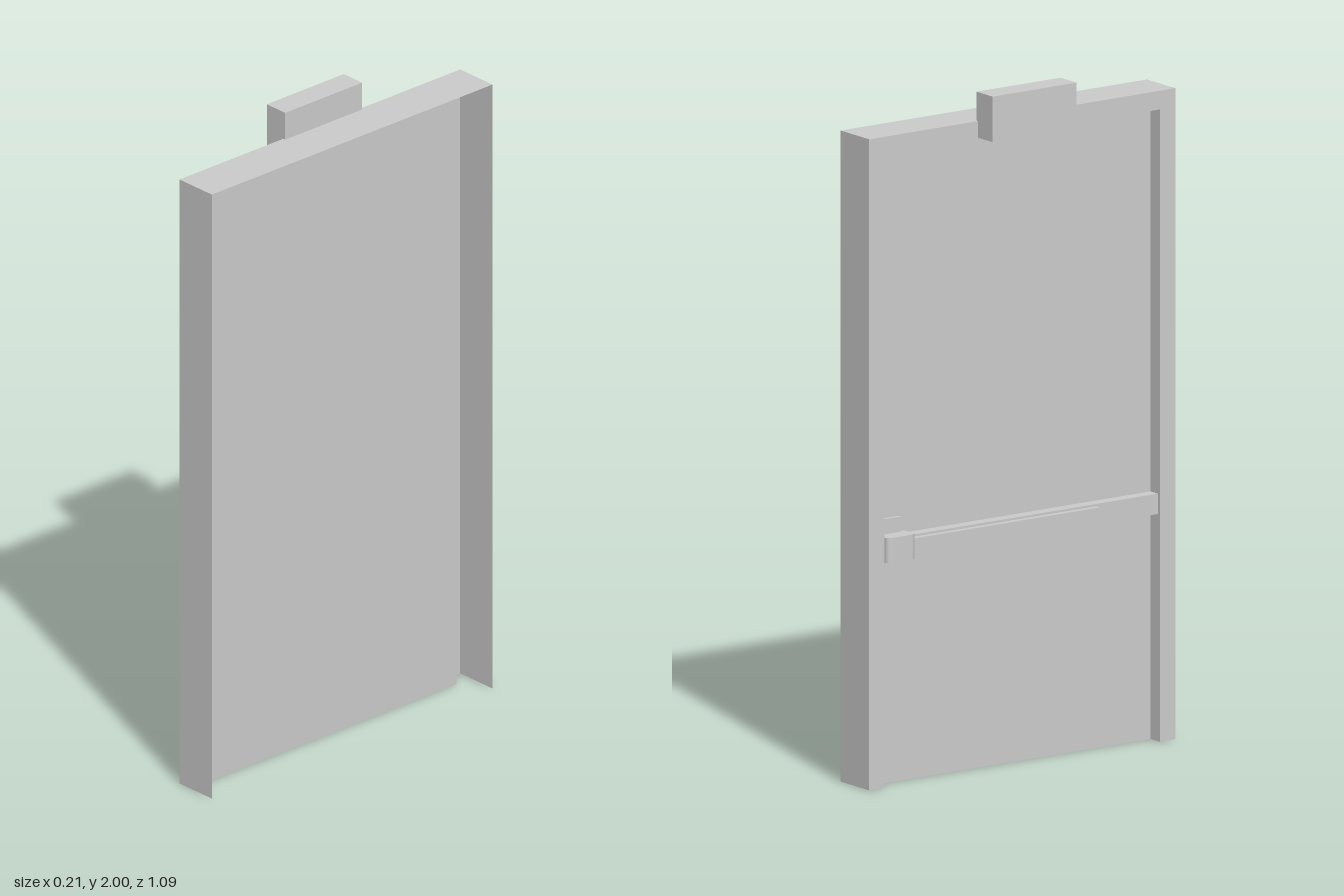
import * as THREE from 'three';

const DOOR_X = 0.01, OPEN_Z = 0.49, OPEN_Y = 1.86; // door plane and clear opening

export function createModel() {
  const model = new THREE.Group();
  const solid = new THREE.MeshStandardMaterial({ color: 0xcccccc, flatShading: true });
  const sheet = new THREE.MeshStandardMaterial({ color: 0xcccccc, flatShading: true, side: THREE.DoubleSide });

  const add = (name, geometry, material = solid) => {
    const mesh = new THREE.Mesh(geometry, material);
    mesh.name = name;
    model.add(mesh);
    return mesh;
  };

  // box given by its limits
  const box = (name, x0, x1, y0, y1, z0, z1) =>
    add(name, new THREE.BoxGeometry(x1 - x0, y1 - y0, z1 - z0))
      .position.set((x0 + x1) / 2, (y0 + y1) / 2, (z0 + z1) / 2);

  // pressed-metal frame: [inset, x] section swept up one jamb, across the head and down the other
  const section = [[0, 0.102], [0, -0.035], [0.055, -0.035], [0.055, DOOR_X]];
  const stations = [[1, 0], [1, 1], [-1, 1], [-1, 0]];
  const point = (s, p) => {
    const [side, top] = stations[s], [inset, x] = section[p];
    return [x, top * (1.915 - inset), side * (0.545 - inset)];
  };
  const positions = [];
  for (let s = 0; s < 3; s++) {
    for (let p = 0; p < 3; p++) {
      const a = point(s, p), b = point(s + 1, p), c = point(s + 1, p + 1), d = point(s, p + 1);
      positions.push(...a, ...b, ...c, ...a, ...c, ...d);
    }
  }
  const frame = new THREE.BufferGeometry();
  frame.setAttribute('position', new THREE.Float32BufferAttribute(positions, 3));
  frame.computeVertexNormals();
  add('doorFrame', frame, sheet);

  // door leaf
  const leaf = add('doorLeaf', new THREE.PlaneGeometry(2 * OPEN_Z, OPEN_Y), sheet);
  leaf.rotation.y = -Math.PI / 2;
  leaf.position.set(DOOR_X, OPEN_Y / 2, 0);

  // closer on the head of the frame
  box('closerBody', -0.105, -0.027, 1.866, 2, -0.157, 0.142);

  // exit device: plate, rail and push pad
  box('latchPlate', 0.0, DOOR_X, 0.62, 0.78, -0.475, -0.405);
  box('pushRail', -0.025, DOOR_X, 0.668, 0.728, -0.485, OPEN_Z);
  box('pushPad', -0.042, -0.025, 0.675, 0.721, -0.4, 0.272);

  // latch head with softened outer corners, drawn in plan and extruded upward
  const plan = new THREE.Shape();
  plan.moveTo(DOOR_X, 0.488);
  plan.lineTo(-0.037, 0.488);
  plan.quadraticCurveTo(-0.049, 0.485, -0.049, 0.465);
  plan.lineTo(-0.049, 0.41);
  plan.quadraticCurveTo(-0.049, 0.39, -0.037, 0.387);
  plan.lineTo(DOOR_X, 0.387);
  plan.closePath();
  const head = new THREE.ExtrudeGeometry(plan, { depth: 0.074, bevelEnabled: false, curveSegments: 4 });
  head.rotateX(-Math.PI / 2);
  add('latchHead', head).position.y = 0.661;

  return model;
}
